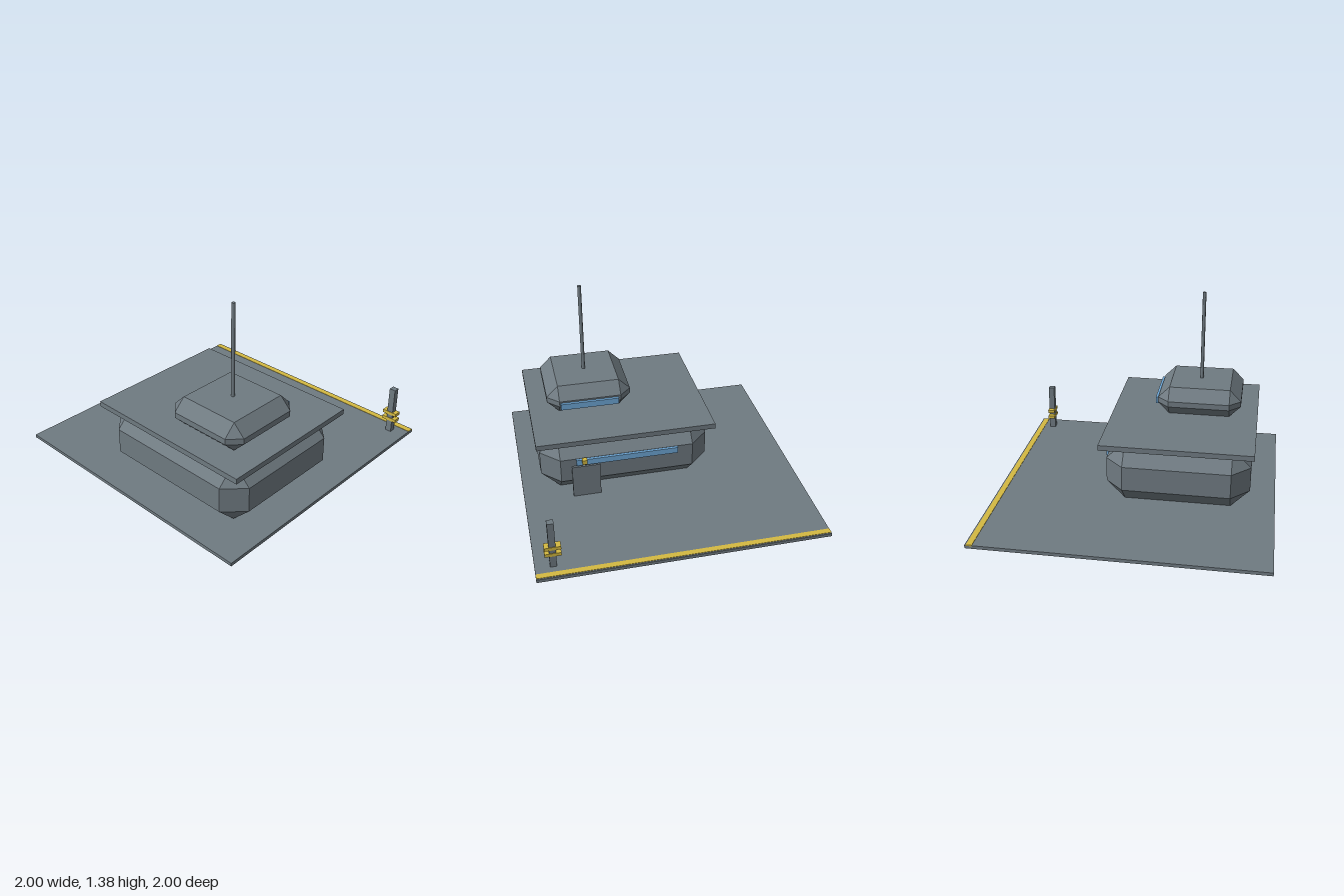
import * as THREE from 'three';
import { ConvexGeometry } from 'three/addons/geometries/ConvexGeometry.js';

const paint = (name, color) => {
  const m = new THREE.MeshStandardMaterial({ color });
  m.name = name;
  return m;
};

export function createModel() {
  const grey = paint('slate grey', 0x6f7a81);
  const yellow = paint('warning yellow', 0xd4b941);
  const blue = paint('window blue', 0x70a9d8);

  const model = new THREE.Group();
  model.name = 'outpost';

  const add = (name, geometry, material, parent = model) => {
    const mesh = new THREE.Mesh(geometry, material);
    mesh.name = name;
    parent.add(mesh);
    return mesh;
  };

  // Box given by its [min, max] range on each axis
  const box = (name, material, [x0, x1], [y0, y1], [z0, z1], parent) => {
    const mesh = add(name, new THREE.BoxGeometry(x1 - x0, y1 - y0, z1 - z0), material, parent);
    mesh.position.set((x0 + x1) / 2, (y0 + y1) / 2, (z0 + z1) / 2);
    return mesh;
  };

  // Box with every edge and corner cut off at the same bevel
  const bevelledBox = (name, material, [x0, x1], [y0, y1], [z0, z1], bevel) => {
    const half = [(x1 - x0) / 2, (y1 - y0) / 2, (z1 - z0) / 2];
    const points = [];
    for (const sx of [-1, 1]) for (const sy of [-1, 1]) for (const sz of [-1, 1]) {
      for (let axis = 0; axis < 3; axis++) {
        const [x, y, z] = half.map((h, i) => (i === axis ? h : h - bevel));
        points.push(new THREE.Vector3(sx * x, sy * y, sz * z));
      }
    }
    const mesh = add(name, new ConvexGeometry(points), material);
    mesh.position.set((x0 + x1) / 2, (y0 + y1) / 2, (z0 + z1) / 2);
    return mesh;
  };

  // Ground pad with its painted edge
  box('pad', grey, [-1, 1], [0, 0.024], [-1, 1]);
  box('edgeStripe', yellow, [-1, 1], [0.018, 0.027], [-0.99, -0.95]);

  // Main building, roof slab and upper cabin
  bevelledBox('lowerBody', grey, [-0.36, 0.86], [0.024, 0.468], [-0.2, 0.82], 0.132);
  box('roofSlab', grey, [-0.385, 0.89], [0.467, 0.505], [-0.23, 0.84]);
  bevelledBox('upperCabin', grey, [0.15, 0.76], [0.505, 0.712], [0.105, 0.715], 0.083);

  // Window strips, door and door lamp on the back
  box('lowerWindow', blue, [-0.116, 0.616], [0.29, 0.335], [-0.22, -0.196]);
  box('upperWindow', blue, [0.25, 0.67], [0.57, 0.617], [0.085, 0.11]);
  box('door', grey, [0.45, 0.65], [0.024, 0.277], [-0.217, -0.19]);
  box('doorLamp', yellow, [0.543, 0.577], [0.312, 0.346], [-0.247, -0.21]);

  // Mast
  const mast = add('mast', new THREE.CylinderGeometry(0.013, 0.013, 0.67, 8), grey);
  mast.position.set(0.457, 1.042, 0.407);

  // Corner post with two crossbars
  const post = new THREE.Group();
  post.name = 'cornerPost';
  model.add(post);
  box('postShaft', grey, [0.855, 0.9], [0.024, 0.38], [-0.902, -0.858], post);
  for (const y of [0.127, 0.178]) {
    box('postBar', yellow, [0.82, 0.93], [y - 0.012, y + 0.012], [-0.906, -0.854], post);
  }

  return model;
}
